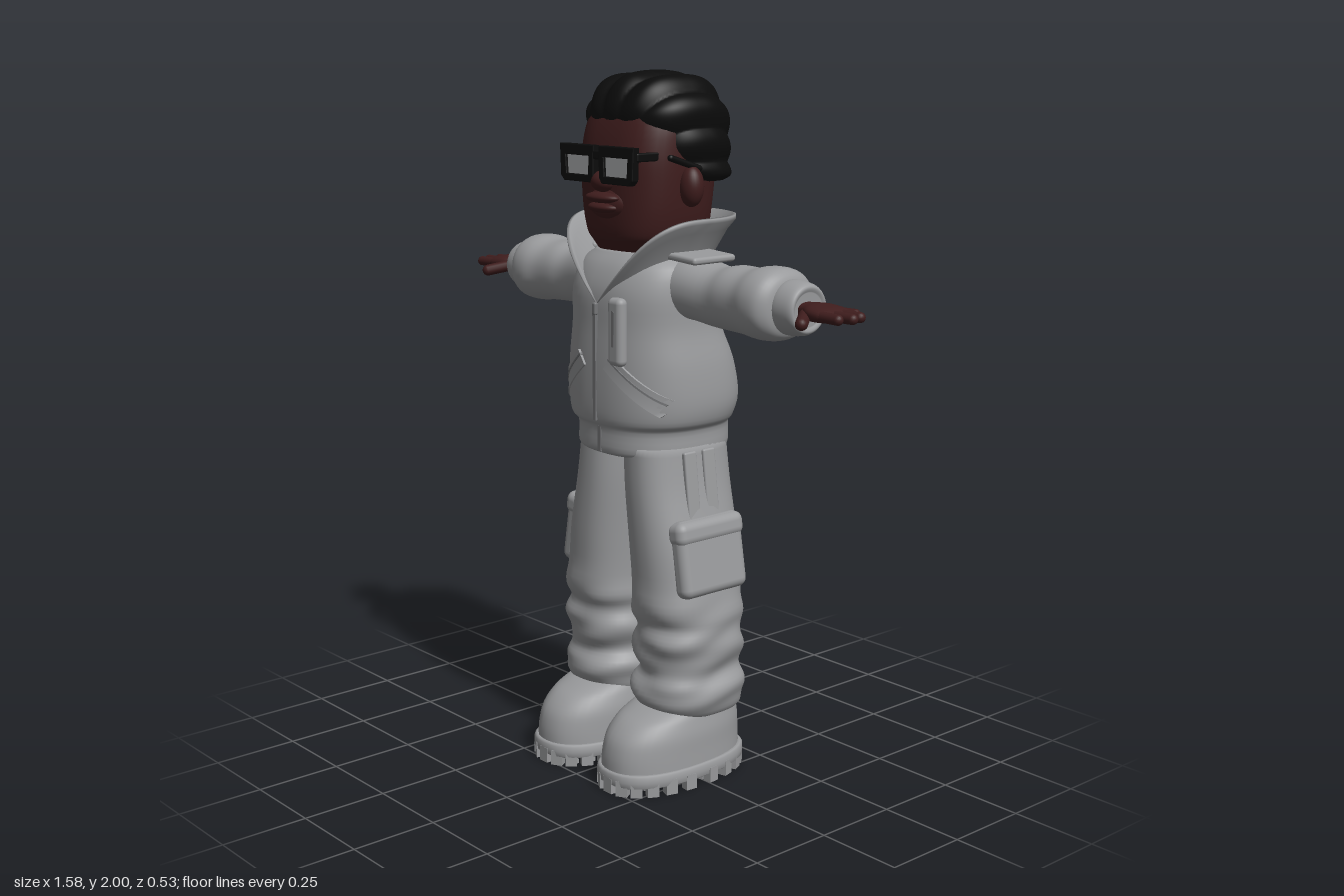
import * as THREE from 'three';
import { RoundedBoxGeometry } from 'three/addons/geometries/RoundedBoxGeometry.js';

const mat = (name, color) => Object.assign(new THREE.MeshStandardMaterial({ color }), { name });

// point of a unit superellipse: [sin part, cos part]
const se = (a, n) => [Math.sin(a), Math.cos(a)].map(v => Math.sign(v) * Math.abs(v) ** (2 / n));

// surface through closed rings of points
function skin(rows) {
  const n = rows[0].length, idx = [];
  for (let i = 0; i < rows.length - 1; i++) for (let j = 0; j < n; j++) {
    const k = (j + 1) % n, a = i * n + j, b = i * n + k;
    idx.push(a, b, b + n, a, b + n, a + n);
  }
  const g = new THREE.BufferGeometry().setFromPoints(rows.flat());
  g.setIndex(idx);
  g.computeVertexNormals();
  return g;
}

// smooth closed loft; a section is [t, centreA, centreB, radiusA, radiusB] along axis y (x, z) or x (y, z)
function loft(sections, { axis = 'y', n = 2.4, seg = 40, sub = 4, rule } = {}) {
  const S = i => sections[Math.min(Math.max(i, 0), sections.length - 1)];
  const at = (i, u) => S(i).map((p1, k) => {
    const p0 = S(i - 1)[k], p2 = S(i + 1)[k], p3 = S(i + 2)[k];
    return p1 + 0.5 * u * (p2 - p0 + u * (2 * p0 - 5 * p1 + 4 * p2 - p3 + u * (3 * (p1 - p2) + p3 - p0)));
  });
  const list = [];
  for (let i = 0; i < sections.length - 1; i++) for (let j = 0; j < sub; j++) list.push(at(i, j / sub));
  list.push(S(sections.length));
  const flat = s => [s[0], s[1], s[2], 0, 0];
  const rows = [flat(list[0]), ...list, flat(list[list.length - 1])].map(([t, a, b, ra, rb]) =>
    Array.from({ length: seg }, (_, j) => {
      const [s, c] = se(j / seg * Math.PI * 2, n);
      const v = axis === 'y' ? new THREE.Vector3(a + ra * s, t, b + rb * c) : new THREE.Vector3(t, a + ra * c, b + rb * s);
      if (rule) rule(v, a, b);
      return v;
    }));
  return skin(rows);
}

const box = (w, h, d, x, y, z, rz = 0, r = 0) =>
  (r ? new RoundedBoxGeometry(w, h, d, 4, r) : new THREE.BoxGeometry(w, h, d)).rotateZ(rz).translate(x, y, z);
const ball = (rx, ry, rz, x, y, z) => new THREE.SphereGeometry(1, 28, 20).scale(rx, ry, rz).translate(x, y, z);

function capsule(a, b, r) {
  const A = new THREE.Vector3(...a), B = new THREE.Vector3(...b), d = B.clone().sub(A);
  const q = new THREE.Quaternion().setFromUnitVectors(new THREE.Vector3(0, 1, 0), d.clone().normalize());
  const mid = A.add(B).multiplyScalar(0.5);
  return new THREE.CapsuleGeometry(r, d.length(), 6, 14).applyQuaternion(q).translate(mid.x, mid.y, mid.z);
}

function add(parent, name, geo, material) {
  const m = new THREE.Mesh(geo, material);
  m.name = name;
  parent.add(m);
}

// adds a part on the left (+x) and its mirror image on the right
function pair(parent, name, geo, material) {
  const g = geo.clone().scale(-1, 1, 1);
  const src = g.index ? Array.from(g.index.array) : Array.from({ length: g.attributes.position.count }, (_, i) => i);
  for (let i = 0; i < src.length; i += 3) [src[i], src[i + 1]] = [src[i + 1], src[i]];
  g.setIndex(src);
  add(parent, name + 'Left', geo, material);
  add(parent, name + 'Right', g, material);
}

export function createModel() {
  const cloth = mat('grey cloth', 0x999a9c), seam = mat('seam grey', 0x747577);
  const skinMat = mat('dark skin', 0x3f1d1d), black = mat('black', 0x0b0b0b), lens = mat('lens grey', 0xa9aaac);
  const model = new THREE.Group();
  const part = (name, x = 0) => {
    const g = new THREE.Group();
    g.name = name;
    g.position.x = x;
    model.add(g);
    return g;
  };

  // jacket body with waistband
  const jacket = part('jacket');
  add(jacket, 'jacketBody', loft([
    [0.94, 0, -0.045, 0.19, 0.185], [0.955, 0, -0.045, 0.205, 0.2], [1.015, 0, -0.045, 0.206, 0.2],
    [1.04, 0, -0.04, 0.23, 0.208], [1.1, 0, -0.045, 0.242, 0.217], [1.2, 0, -0.036, 0.235, 0.207],
    [1.3, 0, -0.018, 0.216, 0.184], [1.4, 0, -0.007, 0.213, 0.168], [1.47, 0, -0.015, 0.2, 0.148],
    [1.51, 0, -0.025, 0.15, 0.12]], { seg: 56 }), cloth);

  // flared collar falling to a V at the front
  const profile = [[0.6, -0.17], [0.74, -0.1], [0.9, -0.035], [1, -0.008], [1, 0.004], [0.96, 0.006], [0.88, -0.03], [0.72, -0.09], [0.58, -0.16]];
  add(jacket, 'collar', skin(profile.map(([f, dy]) => Array.from({ length: 80 }, (_, j) => {
    const a = j / 80 * Math.PI * 2, front = Math.cos(a) > 0, [s, c] = se(a, front ? 3.1 : 2.2);
    return new THREE.Vector3(0.226 * s * f, (front ? 1.37 + 0.23 * Math.abs(s) : 1.6) + dy * (front ? 0.4 + 0.6 * Math.abs(s) : 1), -0.05 + 0.216 * c * (front ? 0.35 + 0.65 * f : f));
  }))), cloth);

  // front fastening and pockets
  add(jacket, 'zipUpper', box(0.012, 0.33, 0.02, 0, 1.205, 0.165), seam);
  add(jacket, 'zipLower', box(0.012, 0.075, 0.012, 0, 0.985, 0.152), seam);
  add(jacket, 'zipPull', box(0.016, 0.035, 0.014, 0, 1.355, 0.17, 0, 0.005), seam);
  add(jacket, 'chestPocket', box(0.058, 0.19, 0.036, 0.09, 1.3, 0.164, 0, 0.017), cloth);
  add(jacket, 'chestPocketSlit', box(0.01, 0.1, 0.004, 0.09, 1.31, 0.1815), seam);
  const welt = (w, h, d, lift) => {
    const g = new THREE.BoxGeometry(w, h, d, 14, 1, 1).rotateZ(-0.67).translate(0.135, 1.15 + lift, 0);
    const p = g.attributes.position;
    for (let i = 0; i < p.count; i++)
      p.setZ(i, p.getZ(i) - 0.042 + 0.213 * Math.max(0, 1 - Math.abs(p.getX(i) / 0.238) ** 2.4) ** (1 / 2.4));
    g.computeVertexNormals();
    return g;
  };
  pair(jacket, 'sidePocket', welt(0.2, 0.05, 0.014, 0), cloth);
  pair(jacket, 'sidePocketSeam', welt(0.19, 0.005, 0.018, 0.012), seam);

  // sleeves, cuffs, shoulder tabs
  pair(jacket, 'sleeve', loft([
    [0.08, 1.4, -0.025, 0.08, 0.1], [0.2, 1.415, -0.03, 0.085, 0.097], [0.3, 1.402, -0.035, 0.083, 0.09],
    [0.36, 1.405, -0.037, 0.089, 0.096], [0.42, 1.403, -0.038, 0.09, 0.1], [0.47, 1.405, -0.04, 0.098, 0.112],
    [0.515, 1.405, -0.042, 0.096, 0.11], [0.54, 1.403, -0.044, 0.082, 0.09], [0.55, 1.402, -0.045, 0.06, 0.065]],
  { axis: 'x', n: 2.2 }), cloth);
  pair(jacket, 'cuff', loft([[0.53, 1.402, -0.046, 0.066, 0.068], [0.55, 1.402, -0.046, 0.074, 0.074],
    [0.595, 1.402, -0.046, 0.07, 0.071], [0.612, 1.402, -0.046, 0.06, 0.062], [0.608, 1.402, -0.046, 0.045, 0.05]],
  { axis: 'x', n: 2 }), cloth);
  pair(jacket, 'shoulderTab', box(0.12, 0.02, 0.155, 0.212, 1.503, -0.03, -0.06, 0.009), cloth);

  // hands
  const hands = part('hands');
  pair(hands, 'palm', loft([[0.58, 1.402, -0.04, 0.022, 0.03], [0.62, 1.402, -0.04, 0.022, 0.036],
    [0.655, 1.402, -0.04, 0.024, 0.054], [0.7, 1.4, -0.042, 0.02, 0.058], [0.722, 1.399, -0.042, 0.012, 0.048]],
  { axis: 'x', seg: 24 }), skinMat);
  [[-0.085, 0.725, -0.097], [-0.056, 0.766, -0.07], [-0.028, 0.774, -0.034], [0, 0.758, 0.003]].forEach(([z0, x, z], i) =>
    pair(hands, 'finger' + (i + 1), capsule([0.68, 1.4, z0], [x, 1.399, z], 0.0145), skinMat));
  pair(hands, 'thumb', capsule([0.635, 1.395, -0.005], [0.672, 1.382, 0.045], 0.017), skinMat);

  // trousers with folds gathering towards the hem
  const trousers = part('trousers', 0.012);
  pair(trousers, 'leg', loft([
    [0.21, 0.15, -0.05, 0.095, 0.11], [0.195, 0.15, -0.05, 0.118, 0.142], [0.235, 0.153, -0.037, 0.134, 0.16],
    [0.28, 0.153, -0.034, 0.138, 0.162], [0.32, 0.15, -0.045, 0.124, 0.15], [0.365, 0.15, -0.04, 0.132, 0.158],
    [0.41, 0.152, -0.032, 0.139, 0.156], [0.455, 0.152, -0.042, 0.131, 0.152], [0.5, 0.15, -0.032, 0.132, 0.163],
    [0.58, 0.143, -0.035, 0.124, 0.163], [0.7, 0.13, -0.035, 0.118, 0.166], [0.85, 0.106, -0.035, 0.106, 0.166],
    [0.97, 0.094, -0.035, 0.1, 0.163]], { seg: 48, rule: (v, a, b) => {
    const ang = Math.atan2(v.x - a, v.z - b), fade = THREE.MathUtils.smoothstep(v.y, 0.2, 0.26) * (1 - THREE.MathUtils.smoothstep(v.y, 0.42, 0.6));
    const k = 1 + 0.035 * fade * Math.sin(58 * v.y + 2 * Math.sin(ang * 2 + 0.5));
    v.x = a + (v.x - a) * k;
    v.z = b + (v.z - b) * k;
  } }), cloth);
  pair(trousers, 'cargoPocket', box(0.062, 0.22, 0.24, 0.237, 0.665, -0.033, 0.17, 0.026), cloth);
  pair(trousers, 'cargoFlap', box(0.07, 0.07, 0.248, 0.226, 0.737, -0.033, 0.17, 0.026), cloth);
  for (const z of [0.005, -0.065]) pair(trousers, 'pocketStrap', box(0.024, 0.2, 0.045, 0.204, 0.86, z, 0.12, 0.006), cloth);

  // boots: upper, welt, rim lugs and slanted tread bars
  const boots = part('boots', 0.012), cx = 0.147, cz = 0.025;
  pair(boots, 'bootUpper', loft([
    [0.05, cx, cz, 0.13, 0.23], [0.1, cx, cz, 0.128, 0.227], [0.15, cx, 0.018, 0.126, 0.218],
    [0.19, cx, 0.002, 0.118, 0.195], [0.213, cx, -0.02, 0.112, 0.165], [0.235, cx, -0.045, 0.105, 0.132],
    [0.28, cx, -0.05, 0.095, 0.115]], { n: 2.3 }), cloth);
  pair(boots, 'sole', loft([[0.024, cx, cz, 0.13, 0.228], [0.028, cx, cz, 0.139, 0.239], [0.058, cx, cz, 0.139, 0.239],
    [0.064, cx, cz, 0.13, 0.23]], { n: 2.4, sub: 2 }), cloth);
  for (let i = 0; i < 22; i++) {
    const a = i / 22 * Math.PI * 2, [s, c] = se(a, 2.3);
    pair(boots, 'rimLug', new THREE.BoxGeometry(0.034, 0.045, 0.026).rotateY(Math.atan2(s / 0.139, c / 0.239))
      .translate(cx + 0.128 * s, 0.0225, cz + 0.227 * c), cloth);
  }
  for (let i = -3; i <= 3; i++) {
    const z = i * 0.054, w = 0.23 * Math.sqrt(1 - (z / 0.235) ** 2);
    pair(boots, 'treadBar', new THREE.BoxGeometry(w, 0.026, 0.026).rotateY(0.3).translate(cx, 0.015, cz + z), cloth);
  }

  // head
  const head = part('head', -0.008);
  add(head, 'face', loft([
    [1.46, 0, -0.05, 0.11, 0.11], [1.53, 0, -0.032, 0.138, 0.14], [1.56, 0, -0.03, 0.156, 0.152],
    [1.62, 0, -0.028, 0.17, 0.156], [1.7, 0, -0.03, 0.178, 0.16], [1.78, 0, -0.035, 0.18, 0.163],
    [1.86, 0, -0.05, 0.174, 0.16], [1.92, 0, -0.055, 0.14, 0.135], [1.95, 0, -0.055, 0.08, 0.08]], { n: 2.8 }), skinMat);
  pair(head, 'ear', ball(0.036, 0.056, 0.034, 0.187, 1.692, -0.025), skinMat);
  add(head, 'nose', ball(0.04, 0.03, 0.034, 0, 1.703, 0.13), skinMat);
  add(head, 'muzzle', ball(0.085, 0.05, 0.04, 0, 1.643, 0.105), skinMat);
  add(head, 'upperLip', ball(0.064, 0.016, 0.034, 0, 1.659, 0.133), skinMat);
  add(head, 'lowerLip', ball(0.058, 0.016, 0.032, 0, 1.632, 0.13), skinMat);

  // hair braided in rows from forehead to nape
  add(head, 'braidedHair', loft([
    [1.7, 0, -0.12, 0.165, 0.105], [1.715, 0, -0.112, 0.185, 0.122], [1.75, 0, -0.09, 0.192, 0.145],
    [1.82, 0, -0.075, 0.195, 0.16], [1.86, 0, -0.066, 0.193, 0.17], [1.9, 0, -0.06, 0.182, 0.164],
    [1.945, 0, -0.058, 0.152, 0.138], [1.975, 0, -0.056, 0.1, 0.095], [1.985, 0, -0.056, 0.03, 0.03]],
  { n: 2.5, seg: 144, sub: 8, rule: v => {
    const lane = Math.atan2(v.x, v.y - 1.72), k = 0.98 + 0.075 * Math.abs(Math.cos(lane * 8));
    v.x *= k;
    v.y = v.y > 1.72 ? 1.72 + (v.y - 1.72) * k : v.y;
    v.z = -0.06 + (v.z + 0.06) * (0.99 + (k - 0.98) * 0.4);
  } }), black);

  // glasses
  const rim = new THREE.Shape([[-0.066, -0.04], [-0.056, -0.05], [0.056, -0.05], [0.068, -0.038], [0.072, 0.046], [-0.068, 0.046]]
    .map(p => new THREE.Vector2(...p)));
  rim.holes.push(new THREE.Path([[-0.05, -0.036], [-0.054, 0.022], [0.054, 0.022], [0.05, -0.036]].map(p => new THREE.Vector2(...p))));
  pair(head, 'glassesRim', new THREE.ExtrudeGeometry(rim, { depth: 0.018, bevelSize: 0.003, bevelThickness: 0.003, bevelSegments: 2 })
    .translate(0.082, 1.752, 0.138), black);
  pair(head, 'glassesLens', box(0.108, 0.062, 0.006, 0.082, 1.745, 0.147), lens);
  add(head, 'glassesBridge', box(0.04, 0.024, 0.018, 0, 1.775, 0.149, 0, 0.005), black);
  pair(head, 'glassesTemple', box(0.014, 0.024, 0.19, 0.15, 1.775, 0, 0, 0.005).rotateY(0).translate(0.002, 0, 0.05), black);
  pair(head, 'glassesTempleEnd', capsule([0.186, 1.772, 0.05], [0.19, 1.74, -0.05], 0.009), black);

  return model;
}
